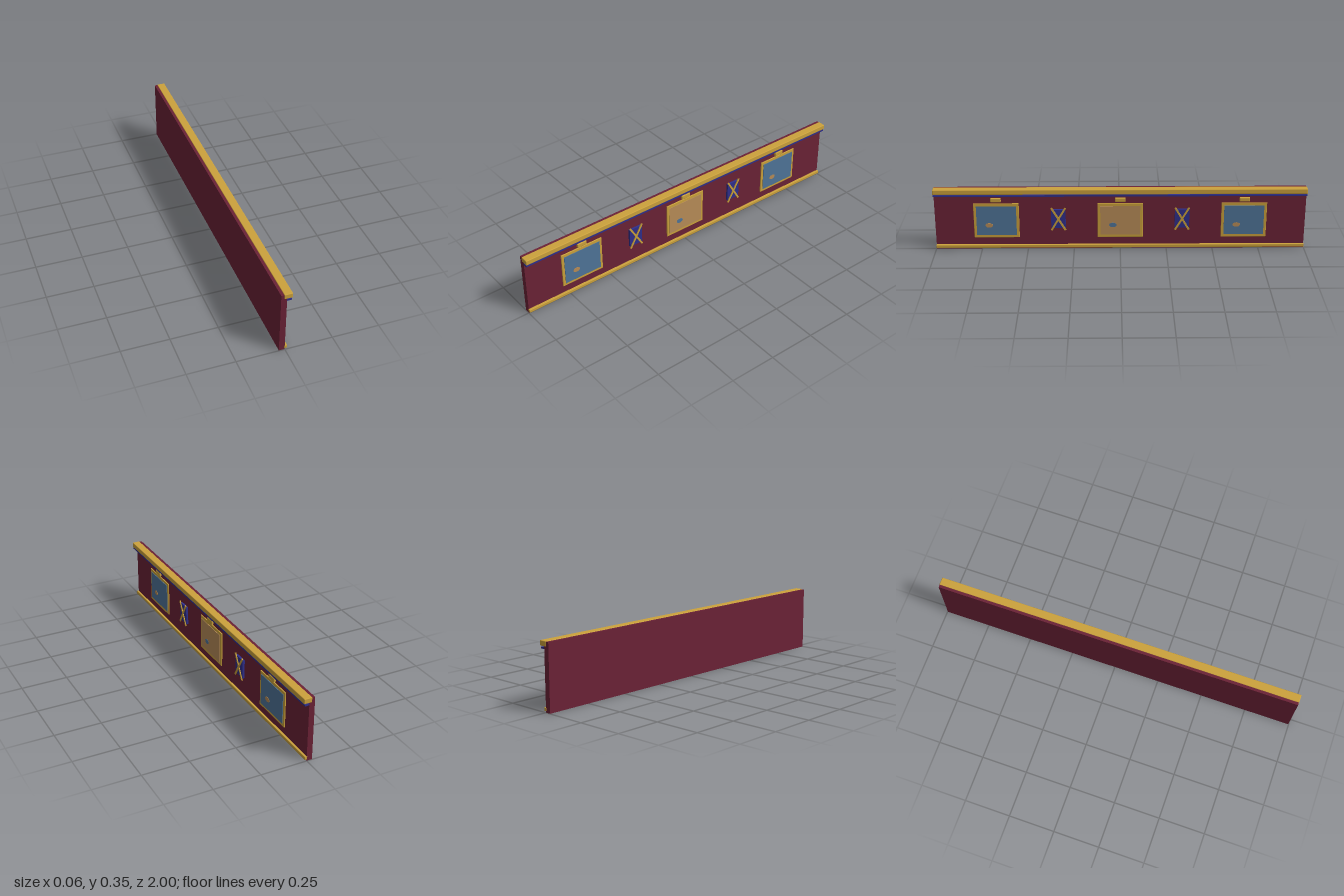
import * as THREE from 'three';
import { RoundedBoxGeometry } from 'three/addons/geometries/RoundedBoxGeometry.js';

const material = (name, color) => {
  const m = new THREE.MeshStandardMaterial({ color });
  m.name = name;
  return m;
};

export function createModel() {
  const crimson = material('crimson', 0x6b2236);
  const gold = material('gold', 0xcca23c);
  const navy = material('royal blue', 0x2f2f8c);
  const sky = material('canvas blue', 0x507599);
  const tan = material('canvas tan', 0xb98d58);

  const model = new THREE.Group();
  model.name = 'galleryWall';

  // Box given by its x and y ranges, its z centre and z width; r rounds the edges
  function block(parent, name, mat, [x0, x1], [y0, y1], z, width, r = 0) {
    const size = [x1 - x0, y1 - y0, width];
    const geo = r ? new RoundedBoxGeometry(...size, 2, r) : new THREE.BoxGeometry(...size);
    const mesh = new THREE.Mesh(geo, mat);
    mesh.name = name;
    mesh.position.set((x0 + x1) / 2, (y0 + y1) / 2, z);
    parent.add(mesh);
    return mesh;
  }

  // Wall and its full-length mouldings
  block(model, 'wall', crimson, [-0.03, 0], [0, 0.349], 0, 1.996);
  block(model, 'cornice', gold, [-0.015, 0.029], [0.324, 0.352], 0, 2, 0.004);
  block(model, 'corniceBand', navy, [-0.001, 0.024], [0.311, 0.32], 0, 1.996);
  block(model, 'baseRail', gold, [-0.003, 0.012], [0.007, 0.025], 0, 2, 0.003);

  // Framed pictures, the middle one with its colours swapped
  for (const [z, ground, accent] of [[-0.667, sky, tan], [0, tan, sky], [0.667, sky, tan]]) {
    const picture = new THREE.Group();
    picture.name = 'picture';
    picture.position.z = z;
    model.add(picture);
    block(picture, 'frame', gold, [-0.001, 0.006], [0.067, 0.265], 0, 0.245, 0.002);
    block(picture, 'canvas', ground, [0.004, 0.009], [0.083, 0.249], 0, 0.215);
    block(picture, 'pictureLamp', gold, [0.002, 0.016], [0.275, 0.298], 0, 0.056, 0.004);

    // Painted oval
    const spot = new THREE.Mesh(new THREE.CylinderGeometry(1, 1, 0.002, 20), accent);
    spot.name = 'paintedOval';
    spot.rotation.z = -Math.PI / 2;
    spot.scale.set(0.013, 1, 0.02);
    spot.position.set(0.0095, 0.14, 0.04);
    picture.add(spot);
  }

  // Emblems between the pictures: blue plaque with two crossed bars
  for (const z of [-0.333, 0.333]) {
    const emblem = new THREE.Group();
    emblem.name = 'emblem';
    emblem.position.z = z;
    model.add(emblem);
    block(emblem, 'plaque', navy, [-0.001, 0.012], [0.125, 0.23], 0, 0.078);
    for (const side of [-1, 1]) {
      const bar = block(emblem, 'crossedBar', gold, [0.011, 0.0165], [0.103, 0.251], 0, 0.01);
      bar.rotation.x = side * 0.53;
    }
  }
  return model;
}
